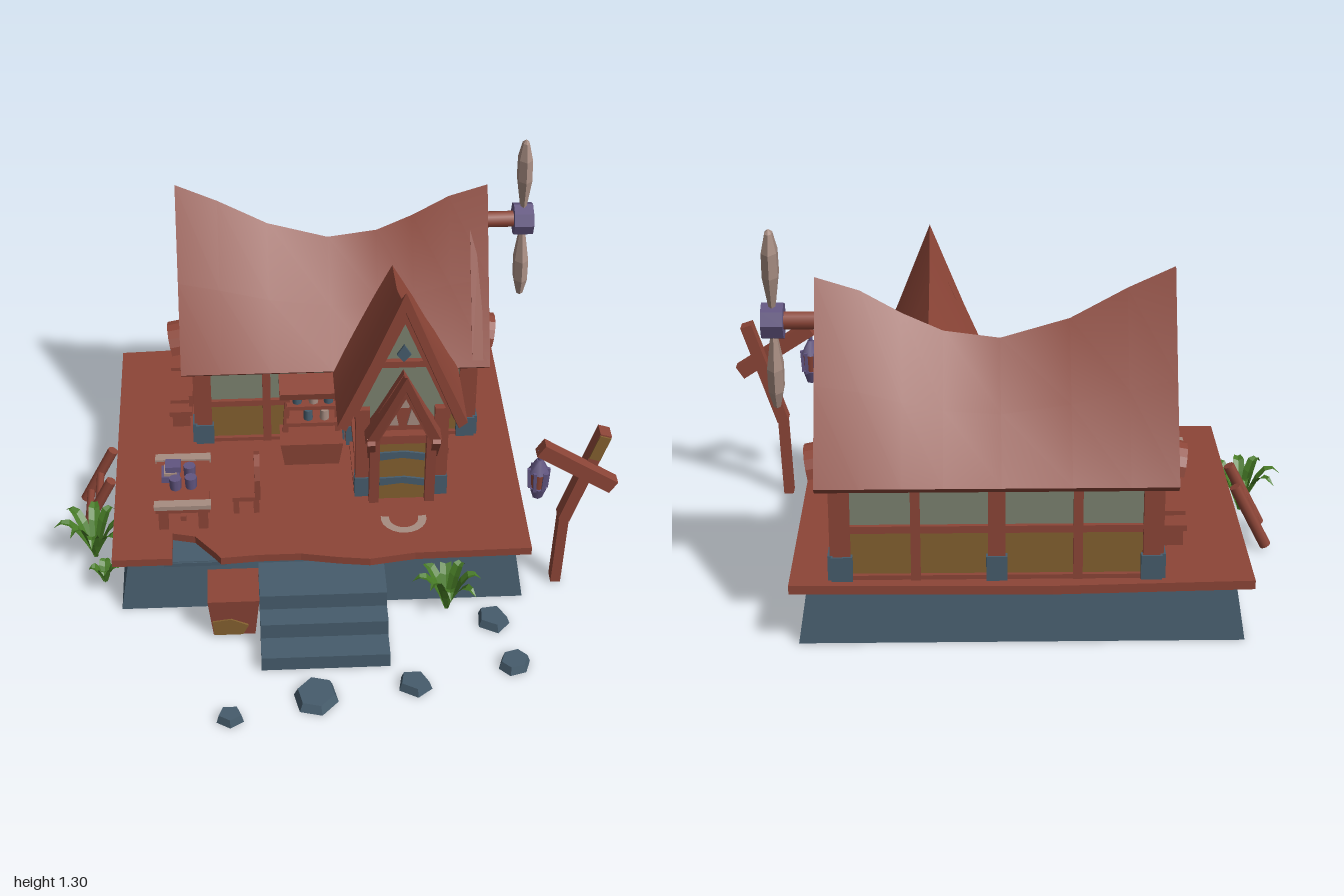
import * as THREE from 'three';
import { toCreasedNormals } from 'three/addons/utils/BufferGeometryUtils.js';

const mat = (name, color, side = THREE.FrontSide) => {
  const m = new THREE.MeshStandardMaterial({ color, side });
  m.name = name;
  return m;
};

export function createModel() {
  const root = new THREE.Group();
  root.name = 'cottage';
  const wood = mat('red wood', 0x8c4537), stone = mat('blue stone', 0x465c6c, THREE.DoubleSide);
  const ochre = mat('ochre panel', 0x83602f), plaster = mat('grey green plaster', 0x7b826f);
  const pale = mat('pale wood', 0xa68c81, THREE.DoubleSide), purple = mat('purple metal', 0x615580);
  const green = mat('leaf green', 0x467a25, THREE.DoubleSide);
  const V = (x, y, z) => new THREE.Vector3(x, y, z);

  const add = (name, geo, m, x = 0, y = 0, z = 0, parent = root) => {
    const o = new THREE.Mesh(geo, m);
    o.name = name;
    o.position.set(x, y, z);
    parent.add(o);
    return o;
  };
  // box given by its x, y and z ranges
  const box = (name, m, x0, x1, y0, y1, z0, z1, parent) =>
    add(name, new THREE.BoxGeometry(x1 - x0, y1 - y0, z1 - z0), m, (x0 + x1) / 2, (y0 + y1) / 2, (z0 + z1) / 2, parent);
  // square (or round) bar between two points
  const bar = (name, m, a, b, w, d = w, parent = root, round = false) => {
    const dir = b.clone().sub(a), len = dir.length();
    const geo = round ? new THREE.CylinderGeometry(w / 2, w / 2, len, 8) : new THREE.BoxGeometry(w, len, d);
    const c = a.clone().add(b).multiplyScalar(0.5);
    const o = add(name, geo, m, c.x, c.y, c.z, parent);
    o.quaternion.setFromUnitVectors(V(0, 1, 0), dir.normalize());
    return o;
  };
  // four-sided block whose top is a scaled copy of its bottom
  const taper = (name, m, w, h, d, top, x, y, z, open = false) => {
    const s = Math.SQRT1_2;
    const g = new THREE.CylinderGeometry(s * top, s, h, 4, 1, open).rotateY(Math.PI / 4).scale(w, 1, d).toNonIndexed();
    g.computeVertexNormals();
    return add(name, g, m, x, y + h / 2, z);
  };
  const plate = (name, m, pts, depth, x, y, z, parent) => add(name, new THREE.ExtrudeGeometry(
    new THREE.Shape(pts.map(p => new THREE.Vector2(...p))), { depth, bevelEnabled: false }), m, x, y, z, parent);

  // gable roof swept along x; stations are [x, ridge height, shift of the eave]
  const roof = (name, stations, half, eave, thick) => {
    const rings = stations.map(([s, r, rake = 0]) => {
      const mid = eave + (r - eave) * 0.48;
      return [[-half, eave], [-half / 2, mid], [0, r], [half / 2, mid], [half, eave],
        [half - 0.03, eave - 0.025], [0, r - thick], [0.03 - half, eave - 0.025]]
        .map(([z, y]) => V(s + rake * (1 - (y - eave) / (r - eave)), y, z));
    });
    const pts = [];
    for (let i = 0; i + 1 < rings.length; i++) for (let j = 0; j < 8; j++) {
      const k = (j + 1) % 8, a = rings[i][j], b = rings[i][k], c = rings[i + 1][k], d = rings[i + 1][j];
      pts.push(a, b, c, a, c, d);
    }
    for (const [i, j, k] of [[0, 1, 7], [1, 6, 7], [1, 2, 6], [2, 3, 6], [3, 5, 6], [3, 4, 5]]) {
      const f = rings[0], l = rings[rings.length - 1];
      pts.push(f[k], f[j], f[i], l[i], l[j], l[k]);
    }
    return add(name, toCreasedNormals(new THREE.BufferGeometry().setFromPoints(pts), 0.5), wood);
  };

  // Foundation, deck with a broken front edge, steps
  taper('foundation', stone, 1.42, 0.19, 1.255, 0.958, -0.025, 0, -0.28, true);
  const edge = [[-0.76, 0.335], [-0.55, 0.335], [-0.55, 0.2], [-0.47, 0.22], [-0.4, 0.31], [-0.38, 0.34], [-0.25, 0.33],
    [-0.1, 0.33], [0.03, 0.355], [0.14, 0.37], [0.3, 0.345], [0.71, 0.34], [0.71, -0.93], [-0.12, -0.945], [-0.76, -0.92]];
  plate('deck', wood, edge.map(([x, z]) => [x, -z]), 0.03, 0, 0.187, 0).rotation.x = -Math.PI / 2;
  box('foundationTop', stone, -0.58, -0.36, 0.17, 0.186, 0.16, 0.325);
  [[0.5, 0.175], [0.58, 0.115], [0.68, 0.055]].forEach(([z, y]) => box('step', stone, -0.25, 0.19, 0, y, 0.3, z));
  taper('crate', wood, 0.145, 0.165, 0.14, 1.23, -0.34, 0, 0.425);
  plate('cratePatch', ochre, [[-0.07, 0], [0.03, 0], [0.05, 0.04], [-0.01, 0.07], [-0.075, 0.06]], 0.008, -0.34, 0.01, 0.5);

  // House body
  for (const [n, x0, x1, z0, z1] of [['house', -0.45, 0.56, -0.88, -0.34], ['wing', 0.12, 0.43, -0.36, -0.02]]) {
    box(n + 'LowerWall', ochre, x0, x1, 0.21, 0.39, z0, z1);
    box(n + 'UpperWall', plaster, x0, x1, 0.39, 0.56, z0, z1);
  }
  // timber frame in front of one wall, facing local +z
  const frame = (name, w, posts, x, z, turn) => {
    const g = new THREE.Group();
    g.name = name;
    g.position.set(x, 0, z);
    g.rotation.y = turn;
    root.add(g);
    for (const [y0, y1] of [[0.215, 0.232], [0.378, 0.402], [0.535, 0.575]]) box('rail', wood, -w / 2, w / 2, y0, y1, -0.02, 0.005, g);
    for (const [p, t] of posts) {
      box('post', wood, p - t / 2, p + t / 2, 0.215, 0.56, -0.03, 0.01, g);
      if (t > 0.04) box('postFoot', stone, p - t / 2 - 0.006, p + t / 2 + 0.006, 0.215, 0.3, -0.03, 0.017, g);
    }
    return g;
  };
  const ends = w => [[0.028 - w / 2, 0.055], [w / 2 - 0.028, 0.055]];
  const long = [...ends(1.03), [0, 0.055], [-0.255, 0.03], [0.255, 0.03]];
  frame('frontFrame', 1.03, long, 0.055, -0.33, 0);
  frame('backFrame', 1.03, long, 0.055, -0.89, Math.PI);
  for (const s of [1, -1]) {
    frame('wingSideFrame', 0.33, [[s * 0.14, 0.05]], 0.275 + s * 0.165, -0.17, s * Math.PI / 2);
    // Gable with braces, window and hood
    const g = frame('gable', 0.56, ends(0.56), 0.055 + s * 0.515, -0.61, s * Math.PI / 2);
    plate('gableUpper', plaster, [[-0.13, 0.78], [0.13, 0.78], [0, 1.03]], 0.02, 0, 0, -0.03, g);
    plate('gableLower', ochre, [[-0.28, 0.55], [0.28, 0.55], [0.13, 0.79], [-0.13, 0.79]], 0.02, 0, 0, -0.03, g);
    bar('collarBeam', wood, V(-0.15, 0.78, 0), V(0.15, 0.78, 0), 0.03, 0.03, g);
    bar('kingPost', wood, V(0, 0.56, 0), V(0, 1.02, 0), 0.03, 0.03, g);
    for (const m of [1, -1]) {
      bar('rafter', wood, V(m * 0.29, 0.56, 0.005), V(0, 1.05, 0.005), 0.04, 0.04, g);
      bar('brace', wood, V(m * 0.07, 0.57, 0), V(m * 0.19, 0.72, 0), 0.032, 0.03, g);
      bar('upperBrace', wood, V(0, 0.79, 0), V(m * 0.085, 0.9, 0), 0.026, 0.03, g);
      bar('windowJamb', wood, V(m * 0.075, 0.4, 0.01), V(m * 0.075, 0.5, 0.01), 0.02, 0.03, g);
    }
    plate('window', ochre, [[-0.07, 0.4], [0.07, 0.4], [0.07, 0.5], [0.04, 0.54], [-0.04, 0.54], [-0.07, 0.5]], 0.015, 0, 0, 0, g);
    box('windowLatch', wood, -0.012, 0.012, 0.44, 0.465, 0.01, 0.023, g);
    const arch = new THREE.Shape();
    arch.absarc(0, 0, 0.085, 0, Math.PI);
    arch.absarc(0, 0, 0.066, Math.PI, 0, true);
    add('windowHood', new THREE.ExtrudeGeometry(arch, { depth: 0.09, bevelEnabled: false, curveSegments: 4 }), wood, 0, 0.49, 0, g).rotation.x = 0.2;
  }

  // Roofs
  roof('mainRoof', [[-0.51, 1.16], [-0.36, 1.09], [-0.18, 0.99], [0.04, 0.925], [0.22, 0.95], [0.35, 1.01], [0.48, 1.085],
    [0.62, 1.13]], 0.325, 0.55, 0.07).position.z = -0.615;
  const wing = roof('wingRoof', [[-0.53, 0.85], [-0.32, 0.88], [-0.14, 0.96], [0.035, 1.1]], 0.23, 0.545, 0.08);
  const porch = roof('porchRoof', [[-0.02, 0.74], [0.06, 0.765], [0.155, 0.835, -0.06]], 0.135, 0.51, 0.07);
  for (const r of [wing, porch]) { r.rotation.y = -Math.PI / 2; r.position.x = 0.273; }

  // Entrance gable and door
  const door = new THREE.Group();
  door.name = 'entrance';
  door.position.x = 0.273;
  root.add(door);
  plate('entranceGable', plaster, [[-0.16, 0.215], [0.16, 0.215], [0.16, 0.61], [0, 1], [-0.16, 0.61]], 0.02, 0, 0, -0.025, door);
  plate('entranceSurround', wood, [[-0.115, 0.215], [0.115, 0.215], [0.115, 0.54], [0, 0.76], [-0.115, 0.54]], 0.03, 0, 0, 0, door);
  box('doorLeaf', ochre, -0.082, 0.082, 0.22, 0.485, 0.02, 0.045, door);
  for (const y of [0.3, 0.415]) plate('doorBand', stone, [[-0.08, -0.015], [0, -0.005], [0.08, -0.02], [0.08, 0.01], [0.01, 0.022], [-0.08, 0.018]], 0.008, 0, y, 0.045, door);
  bar('doorLintel', wood, V(-0.12, 0.5, 0.045), V(0.12, 0.5, 0.045), 0.035, 0.04, door);
  plate('gableCrest', pale, [[-0.035, 0.66], [0, 0.7], [0.035, 0.66], [0.02, 0.62], [-0.02, 0.62]], 0.009, 0, 0, 0.03, door);
  plate('gableGem', stone, [[0, 0.8], [0.025, 0.83], [0, 0.87], [-0.025, 0.83]], 0.009, 0, 0, 0.005, door);
  bar('gableTie', wood, V(-0.1, 0.79, 0), V(0.1, 0.79, 0), 0.025, 0.03, door);
  for (const s of [1, -1]) {
    bar('cornerPost', wood, V(s * 0.14, 0.215, 0), V(s * 0.14, 0.6, 0), 0.05, 0.04, door);
    box('cornerFoot', stone, s * 0.14 - 0.027, s * 0.14 + 0.027, 0.215, 0.3, -0.03, 0.026, door);
    bar('gableRafter', wood, V(s * 0.18, 0.58, 0.005), V(0, 1.01, 0.005), 0.035, 0.035, door);
    bar('doorPost', wood, V(s * 0.1, 0.215, 0.045), V(s * 0.1, 0.53, 0.065), 0.035, 0.04, door);
    bar('porchRafter', wood, V(s * 0.11, 0.51, 0.08), V(0, 0.76, 0.115), 0.03, 0.03, door);
    bar('porchBracket', wood, V(s * 0.11, 0.42, 0.04), V(s * 0.115, 0.52, 0.1), 0.028, 0.028, door);
    plate('gablePane', pale, [[s * 0.015, 0.545], [s * 0.06, 0.545], [s * 0.055, 0.59], [s * 0.03, 0.615]], 0.009, 0, 0, 0.03, door);
  }
  add('doorMat', new THREE.RingGeometry(0.052, 0.082, 12, 1, Math.PI * 0.95, Math.PI * 1.1), pale, 0.273, 0.222, 0.16).rotation.x = -Math.PI / 2;

  // Propeller
  bar('propellerShaft', wood, V(0.54, 0.985, -0.61), V(0.73, 0.985, -0.61), 0.06, 0.06, root, true);
  const hub = new THREE.CylinderGeometry(0.06, 0.06, 0.07, 8).rotateZ(Math.PI / 2).toNonIndexed();
  hub.computeVertexNormals();
  add('propellerHub', hub, purple, 0.755, 0.985, -0.61);
  const blade = new THREE.LatheGeometry([[0.001, 0.03], [0.022, 0.05], [0.052, 0.16], [0.05, 0.24], [0.024, 0.3], [0.001, 0.312]]
    .map(p => new THREE.Vector2(...p)), 6).scale(0.55, 1, 1).toNonIndexed();
  blade.computeVertexNormals();
  for (const a of [-0.1, Math.PI - 0.1]) add('propellerBlade', blade, pale, 0.755, 0.985, -0.61).rotation.x = a;

  // Signpost and hanging lantern
  bar('signPost', wood, V(0.815, 0, 0.255), V(0.827, 0.31, 0.255), 0.035, 0.05);
  bar('signPostTop', wood, V(0.825, 0.29, 0.255), V(0.945, 0.66, 0.255), 0.042, 0.055);
  bar('signArm', wood, V(0.72, 0.63, 0.3), V(0.98, 0.462, 0.3), 0.052, 0.045);
  bar('signPatch', ochre, V(0.912, 0.56, 0.284), V(0.943, 0.655, 0.284), 0.04, 0.008);
  const lantern = (name, m, r, y0, y1, r2 = r) => add(name, new THREE.CylinderGeometry(r2, r, y1 - y0, 6), m, 0.72, (y0 + y1) / 2, 0.3);
  lantern('lanternHook', purple, 0.008, 0.57, 0.62);
  lantern('lanternCap', purple, 0.038, 0.53, 0.58, 0.012);
  lantern('lanternGlass', wood, 0.025, 0.46, 0.53, 0.031);
  lantern('lanternBase', purple, 0.018, 0.42, 0.465, 0.033);
  for (let i = 0; i < 6; i++) {
    const c = Math.cos(i * Math.PI / 3), s = Math.sin(i * Math.PI / 3);
    bar('lanternRib', purple, V(0.72 + 0.029 * c, 0.46, 0.3 + 0.029 * s), V(0.72 + 0.034 * c, 0.54, 0.3 + 0.034 * s), 0.011);
  }

  // Ladder leaning on the deck
  for (const z of [-0.26, -0.08]) bar('ladderRail', wood, V(-0.89, 0.015, z), V(-0.775, 0.24, z), 0.04, 0.04, root, true);
  for (const t of [0.2, 0.55]) bar('ladderRung', wood, V(-0.89 + t * 0.115, 0.015 + t * 0.225, -0.27), V(-0.89 + t * 0.115, 0.015 + t * 0.225, -0.07), 0.028, 0.028, root, true);

  // Table with crockery, and chair
  box('tableTop', wood, -0.605, -0.415, 0.305, 0.335, -0.085, 0.195);
  for (const z of [-0.08, 0.185]) box('tableTrim', pale, -0.61, -0.41, 0.325, 0.342, z - 0.018, z + 0.018);
  for (const x of [-0.58, -0.44]) for (const z of [-0.05, 0.16]) box('tableLeg', wood, x - 0.017, x + 0.017, 0.215, 0.31, z - 0.017, z + 0.017);
  bar('tableStretcher', wood, V(-0.51, 0.25, -0.05), V(-0.51, 0.25, 0.16), 0.02);
  box('book', purple, -0.585, -0.52, 0.335, 0.36, -0.01, 0.06);
  box('upperBook', pale, -0.575, -0.53, 0.36, 0.372, 0, 0.055);
  box('topBook', purple, -0.57, -0.515, 0.372, 0.395, 0.0, 0.05);
  for (const [x, z] of [[-0.485, 0.02], [-0.48, 0.085], [-0.535, 0.09]]) add('mug', new THREE.CylinderGeometry(0.022, 0.02, 0.045, 8), purple, x, 0.357, z);
  box('chairSeat', wood, -0.335, -0.24, 0.275, 0.293, -0.015, 0.105);
  for (const x of [-0.322, -0.25]) for (const z of [0, 0.09]) box('chairLeg', wood, x - 0.01, x + 0.01, 0.215, 0.28, z - 0.01, z + 0.01);
  plate('chairBack', wood, [[-0.06, 0.28], [0.06, 0.28], [0.065, 0.37], [0.045, 0.42], [0, 0.44], [-0.045, 0.42], [-0.065, 0.37]], 0.02, -0.255, 0, 0.045).rotation.y = Math.PI / 2;

  // Stall with shelf beside the entrance
  taper('stallBase', wood, 0.2, 0.1, 0.11, 1.15, -0.04, 0.215, -0.225);
  for (const x of [-0.135, 0.06]) bar('stallPost', wood, V(x, 0.3, -0.25), V(x * 0.9, 0.52, -0.25), 0.02);
  box('stallRoof', wood, -0.155, 0.08, 0.5, 0.53, -0.3, -0.2).rotation.x = 0.25;
  for (const y of [0.37, 0.445]) box('stallShelf', wood, -0.13, 0.06, y - 0.008, y + 0.008, -0.29, -0.21);
  [[-0.09, 0.453, stone], [-0.03, 0.453, pale], [0.025, 0.453, stone], [-0.05, 0.378, stone], [0.01, 0.378, pale]]
    .forEach(([x, y, m]) => add('jar', new THREE.CylinderGeometry(0.016, 0.018, 0.04, 7), m, x, y + 0.02, -0.24));

  // Bench on the left wall of the house
  box('benchSeat', wood, -0.565, -0.48, 0.275, 0.295, -0.68, -0.41);
  box('benchBack', wood, -0.49, -0.475, 0.32, 0.37, -0.68, -0.41);
  for (const z of [-0.65, -0.44]) {
    box('benchLeg', wood, -0.555, -0.49, 0.215, 0.28, z - 0.015, z + 0.015);
    box('benchArm', wood, -0.56, -0.48, 0.325, 0.34, z - 0.015, z + 0.015);
  }

  // Plants made of arching folded leaves
  const leaf = (len, h) => {
    const g = new THREE.PlaneGeometry(1, 1, 2, 5), p = g.attributes.position;
    for (let i = 0; i < p.count; i++) {
      const u = p.getX(i) * 2, t = p.getY(i) + 0.5, w = 0.022 * Math.sin(Math.PI * (0.12 + 0.88 * t));
      p.setXYZ(i, u * w, h * Math.sin(t * 2.1) + Math.abs(u) * w * 0.4, len * t);
    }
    const flat = g.toNonIndexed();
    flat.computeVertexNormals();
    return flat;
  };
  for (const [x, z, size, n] of [[-0.84, 0.06, 0.15, 8], [0.41, 0.4, 0.13, 8], [-0.8, 0.2, 0.06, 4]]) for (let i = 0; i < n; i++) {
    const k = 0.7 + 0.3 * Math.abs(Math.sin(i * 2.3 + 1));
    add('leaf', leaf(size * k, Math.min(0.19, size * 1.35) * (1.25 - 0.4 * k)), green, x, 0, z).rotation.y = -Math.PI / 2 + i * Math.PI * 2 / n;
  }

  // Stepping stones
  [[-0.36, 0.905, 0.048], [-0.07, 0.82, 0.088], [0.265, 0.78, 0.062], [0.615, 0.695, 0.06], [0.565, 0.475, 0.065]].forEach(([x, z, r], i) => {
    const g = new THREE.CylinderGeometry(r * 0.82, r, 0.03, 5 + i % 2).scale(1, 1, 0.88).toNonIndexed();
    g.computeVertexNormals();
    add('steppingStone', g, stone, x, 0.015, z).rotation.y = i * 1.3;
  });
  return root;
}
